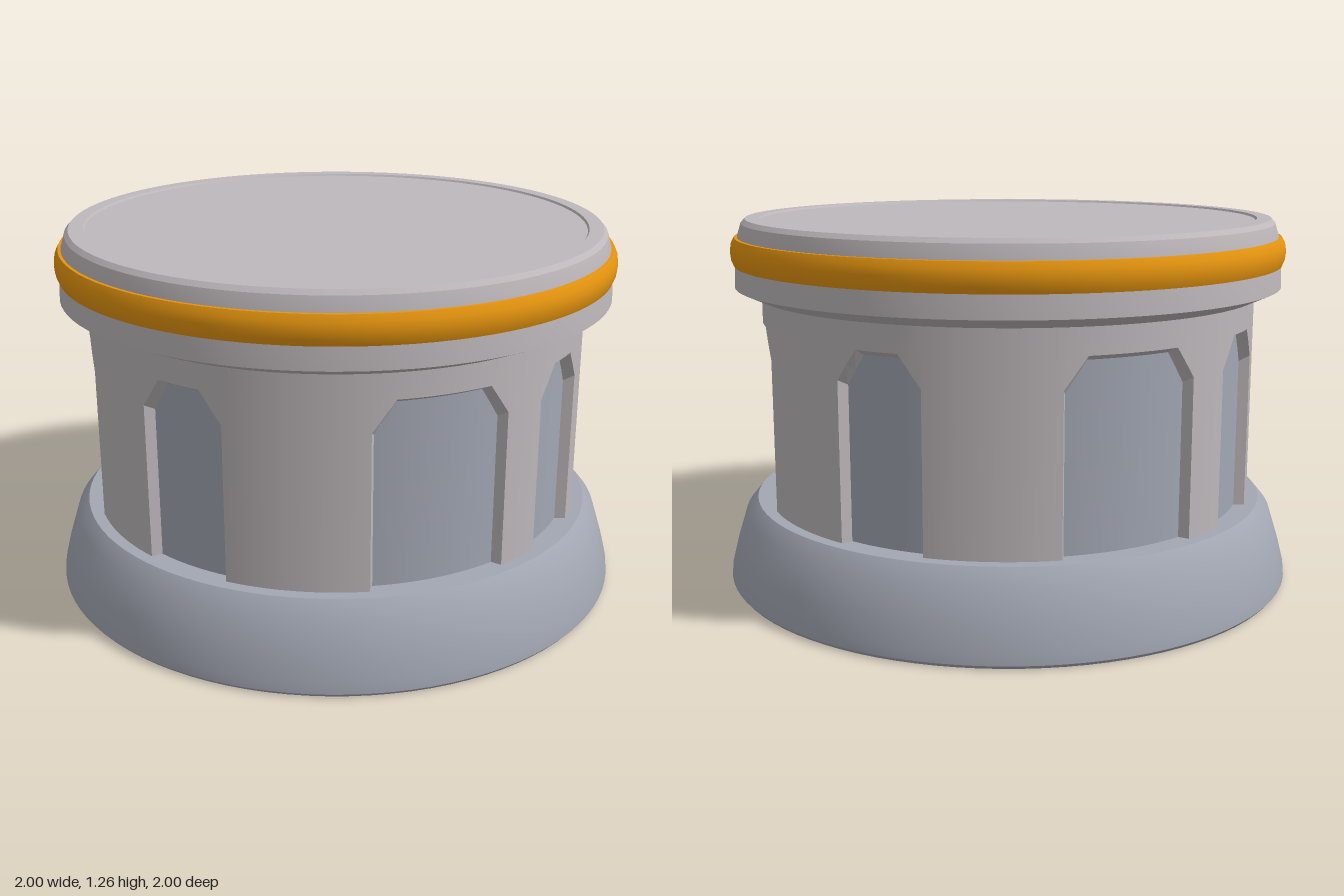
import * as THREE from 'three';
import { mergeVertices, toCreasedNormals } from 'three/addons/utils/BufferGeometryUtils.js';

const material = (name, color) => new THREE.MeshStandardMaterial({ name, color });
const DEG = Math.PI / 180;
const WALL_R = 0.86, FLOOR_R = 0.825, LOW = 0.28, HIGH = 1.01;
const SHOULDER = 0.81, CROWN = 0.912; // niche heights at the sides and at the top
const CUT = 5; // degrees taken by each slanted top corner

// niches: [centre angle, half width] in degrees, from +z towards +x
const NICHES = [[-2.4, 10.3], [54, 15.5], [89.5, 9.2], [126, 15.5],
  [180, 10], [234, 15.5], [270, 9.5], [306, 15.5]];

const polar = ([a, r, y]) => [r * Math.sin(a * DEG), y, r * Math.cos(a * DEG)];

// joins two lines of [angle, radius, height] points with quads
function strip(out, low, high) {
  for (let i = 0; i < low.length - 1; i++) {
    const [a, b, c, d] = [low[i], low[i + 1], high[i + 1], high[i]].map(polar);
    out.push(...a, ...b, ...c, ...a, ...c, ...d);
  }
}

function toGeometry(positions, smooth) {
  let g = new THREE.BufferGeometry();
  g.setAttribute('position', new THREE.Float32BufferAttribute(positions, 3));
  if (smooth) g = mergeVertices(g, 1e-5);
  g.computeVertexNormals();
  return g;
}

// evenly spaced angles between two limits
function angles(from, to) {
  const n = Math.max(1, Math.ceil((to - from) / 2.5));
  return Array.from({ length: n + 1 }, (_, i) => from + (to - from) * i / n);
}

// arched niche outline, left to right, without the vertical sides
function archLine(centre, half, cut, radius, drop) {
  const stops = [
    ...angles(-half, -half + cut).slice(0, -1),
    ...angles(-half + cut, half - cut),
    ...angles(half - cut, half).slice(1)];
  return stops.map((t) => {
    const k = Math.min(1, (half - Math.abs(t)) / cut);
    return [centre + t, radius, SHOULDER + (CROWN - SHOULDER) * k - drop];
  });
}

const level = (line, y) => line.map(([a, r]) => [a, r, y]);

function lathe(points) {
  const g = new THREE.LatheGeometry(points.map(([r, y]) => new THREE.Vector2(r, y)), 96);
  return toCreasedNormals(g, 24 * DEG);
}

export function createModel() {
  const stone = material('pale stone', 0xbeb8bb);
  const slate = material('blue grey stone', 0xa2a7b3);
  const gold = material('gold', 0xe6950f);
  const model = new THREE.Group();
  model.name = 'pedestal';
  const add = (name, geometry, mat) => {
    const mesh = new THREE.Mesh(geometry, mat);
    mesh.name = name;
    model.add(mesh);
  };

  // flared foot
  add('base', lathe([[0, 0], [0.99, 0], [1, 0.012], [0.997, 0.045], [0.978, 0.12],
    [0.942, 0.235], [0.9, 0.286], [0.78, 0.286]]), slate);

  // drum wall, niche edges and niche floors
  const wall = [], edges = [], floors = [];
  NICHES.forEach(([centre, half], i) => {
    const outer = archLine(centre, half, CUT, WALL_R, 0);
    const inner = archLine(centre, half - 0.8, CUT - 0.3, FLOOR_R, 0.018);
    // match the point counts by sampling the inner arch along the outer one
    const rim = outer.map(([a]) => {
      const t = (a - centre) * (half - 0.8) / half;
      const k = Math.min(1, (half - 0.8 - Math.abs(t)) / (CUT - 0.3));
      return [centre + t, FLOOR_R, SHOULDER - 0.018 + (CROWN - SHOULDER) * k];
    });
    strip(wall, outer, level(outer, HIGH));
    strip(floors, level(inner, LOW), inner);
    strip(edges, rim, outer);
    const last = outer.length - 1;
    const down = ([a, r]) => [a, r, LOW];
    strip(edges, [down(outer[0]), down(rim[0])], [outer[0], rim[0]]);
    strip(edges, [down(rim[last]), down(outer[last])], [rim[last], outer[last]]);

    // plain wall up to the next niche
    const next = NICHES[(i + 1) % NICHES.length];
    const end = next[0] - next[1] + (i === NICHES.length - 1 ? 360 : 0);
    const plain = angles(centre + half, end).map((a) => [a, WALL_R, LOW]);
    strip(wall, plain, level(plain, HIGH));
  });
  add('drumWall', toGeometry(wall, true), stone);
  add('nicheEdges', toGeometry(edges, false), stone);
  add('nichePanels', toGeometry(floors, true), slate);

  // projecting cap with a shallow inset top
  add('cap', lathe([[0.84, 1.002], [0.875, 1.002], [0.95, 1.036], [0.946, 1.115], [0.937, 1.2],
    [0.922, 1.25], [0.908, 1.265], [0.86, 1.265], [0.855, 1.258], [0, 1.258]]), stone);

  // rounded gold band around the cap
  add('goldBand', lathe([[0.93, 1.108], [0.95, 1.11], [0.958, 1.13], [0.961, 1.157],
    [0.957, 1.182], [0.946, 1.203], [0.925, 1.204]]), gold);

  return model;
}
